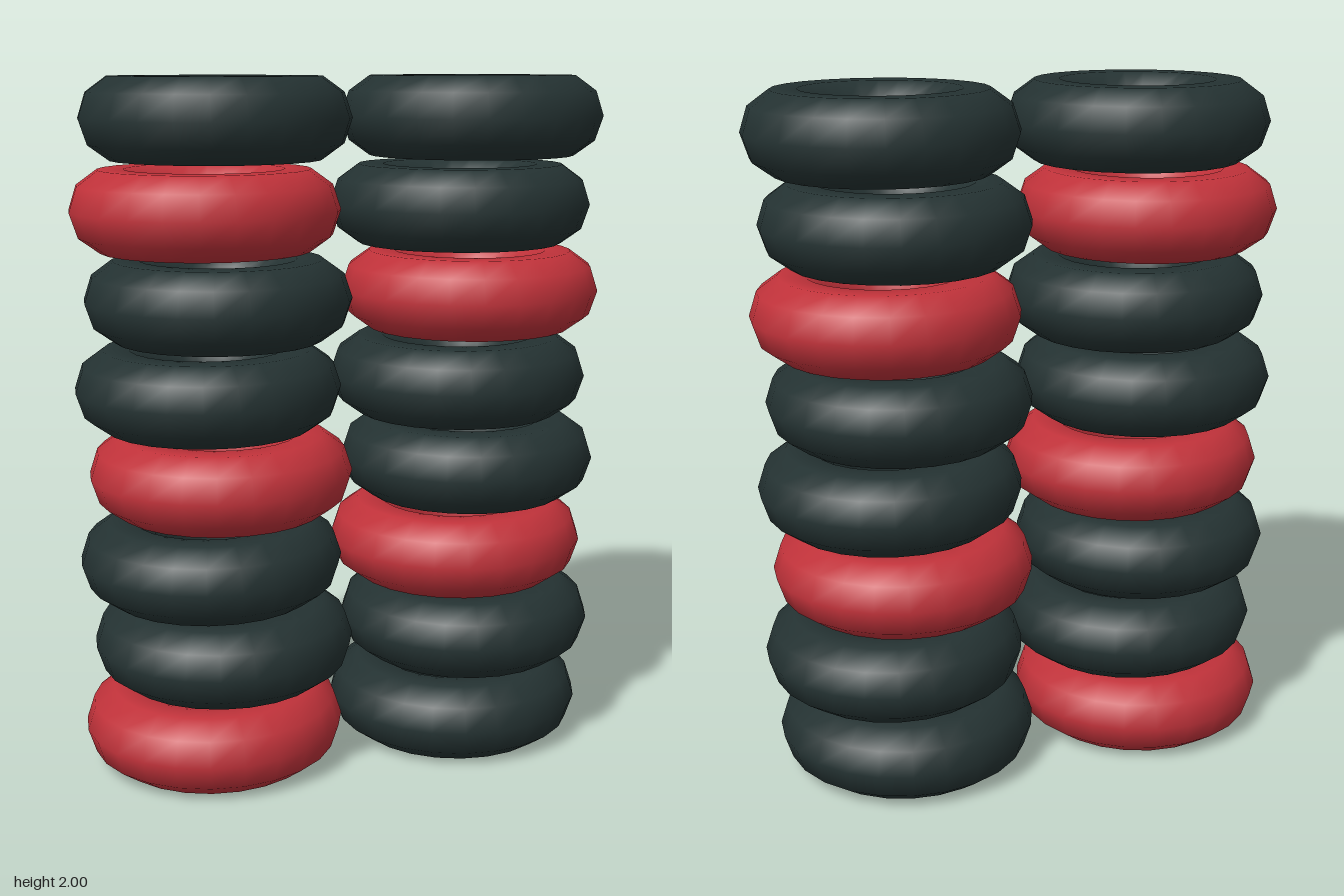
import * as THREE from 'three';

export function createModel() {
  const model = new THREE.Group();
  model.name = 'tyreStacks';

  const rubber = new THREE.MeshStandardMaterial({ color: 0x243232 });
  rubber.name = 'dark rubber';
  const red = new THREE.MeshStandardMaterial({ color: 0xc0323a });
  red.name = 'red paint';

  // One smooth ring, ten-sided in section, lying flat
  const tyre = new THREE.TorusGeometry(0.262, 0.12, 10, 24);
  tyre.rotateX(Math.PI / 2);

  const rows = 8;
  const half = 0.12 * Math.sin(Math.PI * 0.4);
  const step = (2 - 2 * half) / (rows - 1);

  // Two stacks, alternate rows shifted sideways together
  const stacks = [
    { name: 'rightStack', x: -0.383, redOffset: 0 },
    { name: 'leftStack', x: 0.383, redOffset: 1 },
  ];
  for (const { name, x, redOffset } of stacks) {
    const stack = new THREE.Group();
    stack.name = name;
    for (let i = 0; i < rows; i++) {
      const isRed = (i + redOffset) % 3 === 0;
      const mesh = new THREE.Mesh(tyre, isRed ? red : rubber);
      mesh.name = isRed ? 'redTyre' : 'darkTyre';
      mesh.position.set(x + (i % 2 ? 0.017 : -0.017), half + i * step, 0);
      stack.add(mesh);
    }
    model.add(stack);
  }
  return model;
}
